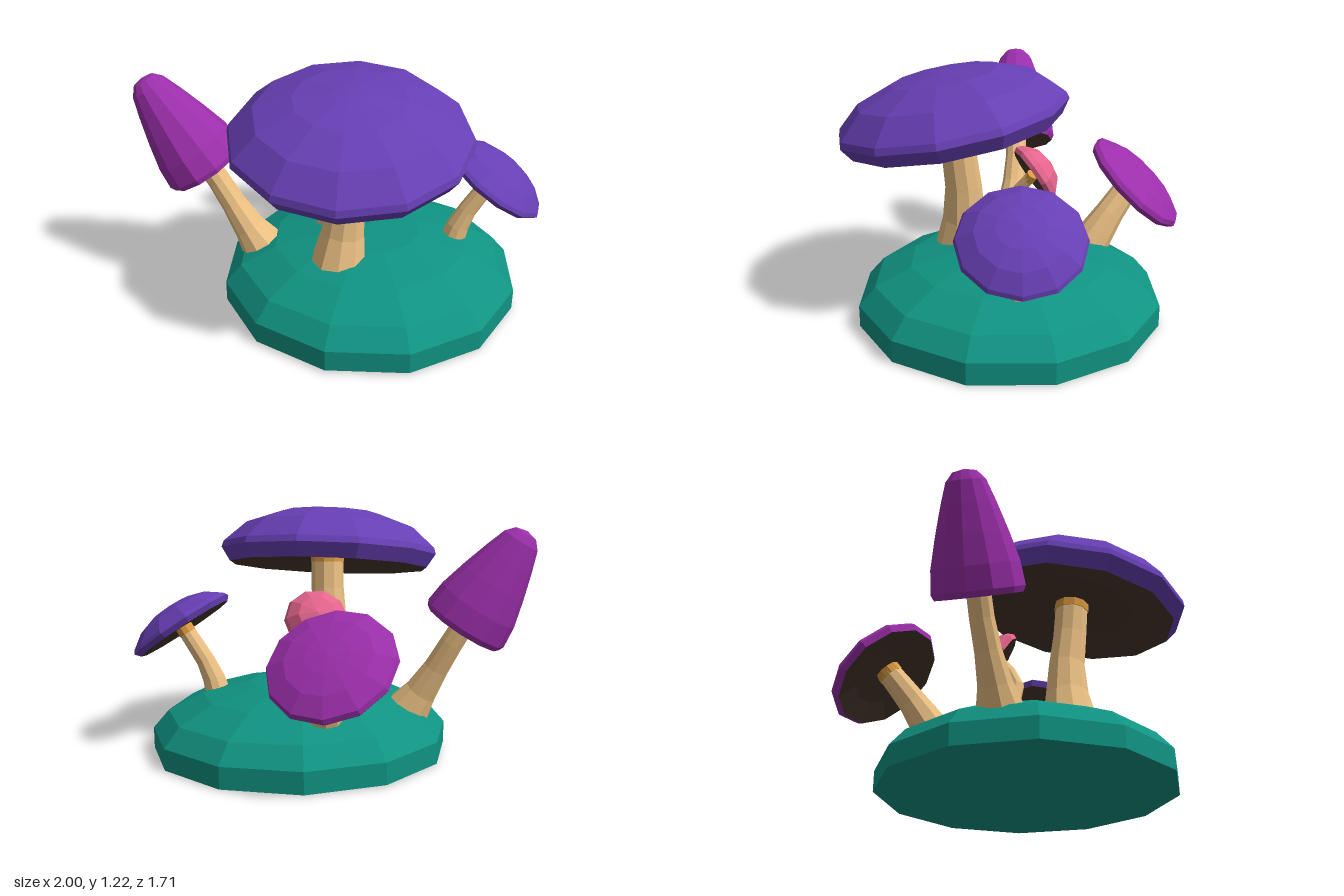
import * as THREE from 'three';

const paint = (color, side = THREE.FrontSide) =>
  new THREE.MeshStandardMaterial({ color, flatShading: true, side });

const TEAL = paint(0x109382);
const PURPLE = paint(0x673fb4);
const MAGENTA = paint(0x9c2fab);
const PINK = paint(0xe5648d);
const STEM = paint(0xebc083, THREE.DoubleSide);
const COLLAR = paint(0xd9983f);
const GILLS = paint(0x46362b);

function mesh(name, geometry, material) {
  const m = new THREE.Mesh(geometry, material);
  m.name = name;
  return m;
}

// Faceted surface of revolution from [radius, height] pairs, bottom to top
function lathe(profile, sides, start = 0) {
  const points = profile.map(([r, y]) => new THREE.Vector2(r, y));
  return new THREE.LatheGeometry(points, sides, start);
}

// Curved tube whose radius follows the list of [x, y, z, radius] points
function taperedStem(path, sides) {
  const curve = new THREE.CatmullRomCurve3(path.map(([x, y, z]) => new THREE.Vector3(x, y, z)));
  const steps = 4;
  const geometry = new THREE.TubeGeometry(curve, steps, 1, sides, false);
  const pos = geometry.attributes.position;
  const p = new THREE.Vector3();
  for (let i = 0; i <= steps; i++) {
    const centre = curve.getPointAt(i / steps);
    const t = (i / steps) * (path.length - 1);
    const k = Math.min(Math.floor(t), path.length - 2);
    const radius = THREE.MathUtils.lerp(path[k][3], path[k + 1][3], t - k);
    for (let j = 0; j <= sides; j++) {
      const n = i * (sides + 1) + j;
      p.fromBufferAttribute(pos, n).sub(centre).multiplyScalar(radius).add(centre);
      pos.setXYZ(n, p.x, p.y, p.z);
    }
  }
  return geometry;
}

// One mushroom: stem, and a tilted cap with hollow gills and a collar
function mushroom({ name, stem, centre, axis, skin, profile, hollow, sides = 12, turn = 0 }) {
  const group = new THREE.Group();
  group.name = name;
  group.add(mesh('stem', taperedStem(stem, 10), STEM));

  const cap = new THREE.Group();
  cap.name = 'cap';
  cap.position.set(...centre);
  cap.quaternion.setFromUnitVectors(new THREE.Vector3(0, 1, 0), new THREE.Vector3(...axis).normalize());
  cap.add(mesh('capSkin', lathe(profile, sides, turn), skin));

  const [rimRadius, rimY] = profile[0];
  const under = [[0, hollow], [rimRadius * 0.6, hollow * 0.7 + rimY * 0.3], [rimRadius, rimY]];
  cap.add(mesh('gills', lathe(under, sides, turn), GILLS));
  group.add(cap);

  // Collar where the stem meets the gills
  const [x, y, z, r] = stem[stem.length - 1];
  const [px, py, pz] = stem[stem.length - 2];
  const along = new THREE.Vector3(x - px, y - py, z - pz).normalize();
  const collar = mesh('collar', new THREE.CylinderGeometry(r * 1.06, r * 1.06, 0.04, 10), COLLAR);
  collar.position.set(x, y, z).addScaledVector(along, -0.015);
  collar.quaternion.setFromUnitVectors(new THREE.Vector3(0, 1, 0), along);
  group.add(collar);
  return group;
}

export function createModel() {
  const model = new THREE.Group();
  model.name = 'mushroomPatch';

  // Domed ground, leaning very slightly
  const mound = mesh('mound', lathe([
    [0, 0], [0.745, 0], [0.745, 0.105], [0.665, 0.197], [0.49, 0.282], [0.25, 0.337], [0, 0.352],
  ], 12, Math.PI / 12), TEAL);
  mound.position.set(0.15, 0.0085, 0.035);
  mound.rotation.set(-0.007, 0, -0.007);
  model.add(mound);

  model.add(mushroom({
    name: 'largeMushroom',
    stem: [[0, 0.28, 0.27, 0.14], [0.035, 0.56, 0.255, 0.095], [0.055, 0.78, 0.275, 0.085], [0.06, 0.965, 0.29, 0.083]],
    centre: [0.055, 0.985, 0.305], axis: [0, 0.984, 0.178], skin: PURPLE, turn: -0.07, hollow: -0.005,
    profile: [[0.52, -0.08], [0.565, -0.012], [0.555, 0.02], [0.44, 0.125], [0.26, 0.193], [0.08, 0.217], [0, 0.22]],
  }));

  model.add(mushroom({
    name: 'conicalMushroom',
    stem: [[-0.39, 0.2, 0.025, 0.12], [-0.5, 0.37, 0.01, 0.068], [-0.59, 0.53, -0.01, 0.058], [-0.69, 0.7, -0.015, 0.056]],
    centre: [-0.675, 0.663, -0.015], axis: [-0.523, 0.852, 0], skin: MAGENTA, hollow: 0.06,
    profile: [[0.2, -0.012], [0.212, 0.015], [0.2, 0.12], [0.165, 0.25], [0.125, 0.38], [0.09, 0.48], [0.055, 0.52], [0, 0.533]],
  }));

  model.add(mushroom({
    name: 'smallMushroom',
    stem: [[0.57, 0.25, -0.005, 0.065], [0.615, 0.39, -0.005, 0.047], [0.75, 0.605, -0.01, 0.042]],
    centre: [0.762, 0.622, -0.01], axis: [0.567, 0.824, 0], skin: PURPLE, hollow: -0.005,
    profile: [[0.262, -0.03], [0.285, -0.004], [0.275, 0.015], [0.2, 0.07], [0.11, 0.1], [0, 0.112]],
  }));

  model.add(mushroom({
    name: 'backMushroom',
    stem: [[-0.06, 0.25, -0.37, 0.1], [-0.09, 0.42, -0.48, 0.073], [-0.15, 0.59, -0.61, 0.06]],
    centre: [-0.15, 0.575, -0.625], axis: [0.12, 0.73, -0.67], skin: MAGENTA, hollow: 0.0,
    profile: [[0.28, -0.035], [0.298, -0.008], [0.288, 0.016], [0.2, 0.055], [0.1, 0.073], [0, 0.08]],
  }));

  model.add(mushroom({
    name: 'pinkMushroom',
    stem: [[-0.09, 0.3, -0.03, 0.045], [-0.035, 0.5, 0.025, 0.032], [0.03, 0.67, -0.08, 0.028]],
    centre: [0.035, 0.68, -0.09], axis: [-0.25, 0.5, -0.8], skin: PINK, hollow: 0.015, sides: 10,
    profile: [[0.145, -0.02], [0.157, 0], [0.145, 0.03], [0.09, 0.08], [0, 0.1]],
  }));

  return model;
}
